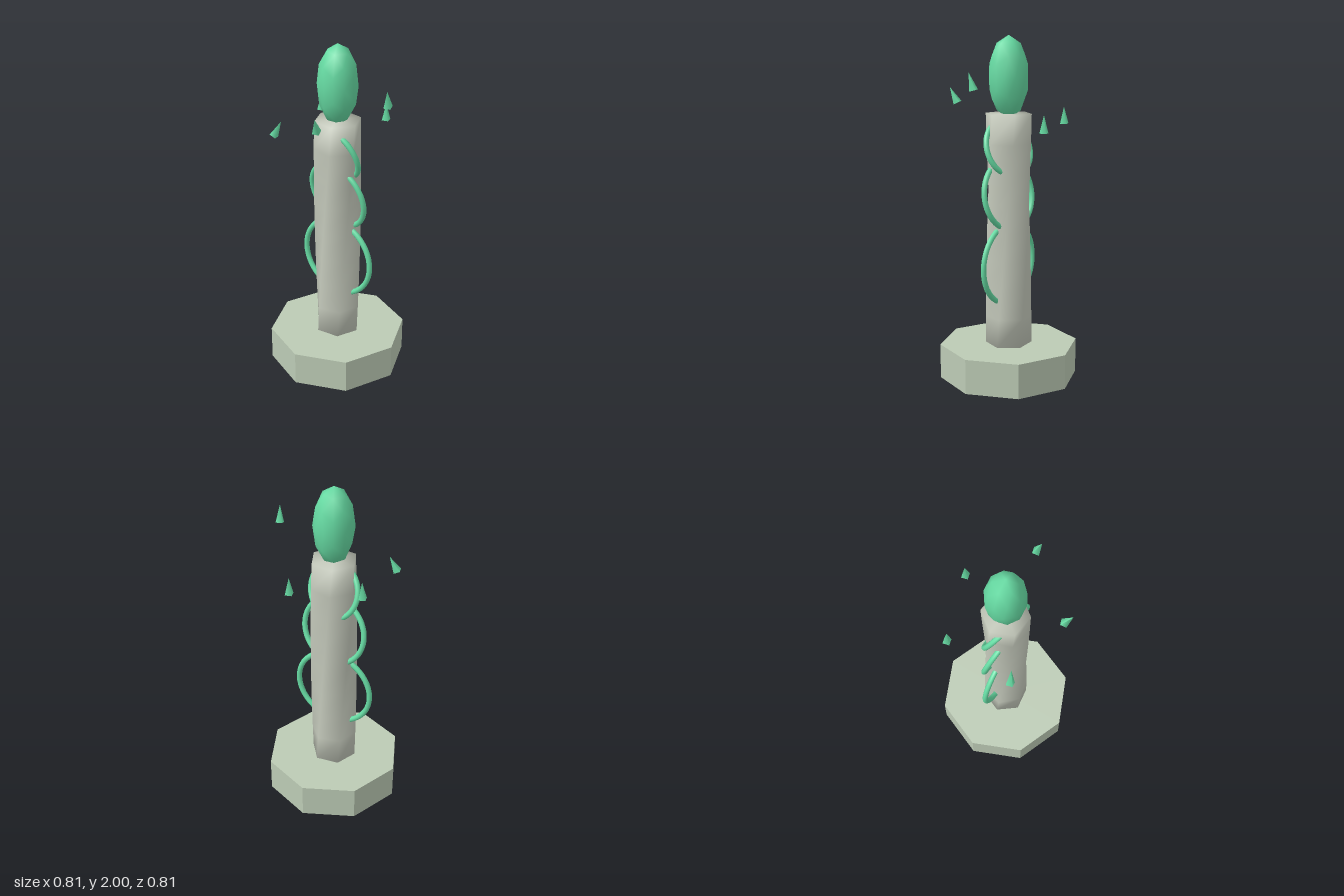
import * as THREE from 'three';
import { mergeVertices } from 'three/addons/utils/BufferGeometryUtils.js';

export function createModel() {
  const model = new THREE.Group();
  const baseStone = new THREE.MeshStandardMaterial({ color: 0xbccbb5, flatShading: true });
  const columnStone = new THREE.MeshStandardMaterial({ color: 0xc6cbbd });
  const crystal = new THREE.MeshStandardMaterial({ color: 0x66dba3 });

  function add(name, geometry, material, x, y, z) {
    const mesh = new THREE.Mesh(geometry, material);
    mesh.name = name;
    mesh.position.set(x, y, z);
    model.add(mesh);
    return mesh;
  }

  // Octagonal plinth
  add('plinth', new THREE.CylinderGeometry(0.405, 0.405, 0.203, 8), baseStone, 0, 0.1015, 0);

  // Six-sided column, twisted evenly along its height, with softened edges
  const height = 1.36, twist = 0.8;
  let column = new THREE.CylinderGeometry(0.135, 0.135, height, 6, 8);
  column.deleteAttribute('uv');
  column.deleteAttribute('normal');
  column = mergeVertices(column);
  const p = column.attributes.position;
  const v = new THREE.Vector3(), up = new THREE.Vector3(0, 1, 0);
  for (let i = 0; i < p.count; i++) {
    v.fromBufferAttribute(p, i).applyAxisAngle(up, twist * p.getY(i) / height);
    p.setXYZ(i, v.x, v.y, v.z);
  }
  column.computeVertexNormals();
  add('twistedColumn', column, columnStone, 0, 0.2 + height / 2, 0);

  // Tall faceted crystal on top
  const orb = add('topCrystal', new THREE.IcosahedronGeometry(0.117, 1), crystal, 0, 1.766, 0);
  orb.scale.y = 2;
  orb.rotation.y = 1;

  // Rings threaded through the column, smaller and more tilted going up
  [[0.235, 0.685], [0.2, 1.09], [0.162, 1.36]].forEach(([radius, y], i) => {
    const ring = add('ring' + (i + 1), new THREE.TorusGeometry(radius, 0.016, 10, 48), crystal, 0, y, 0);
    ring.rotation.set(0.18 * i, -0.09 * i, 0);
  });

  // Floating shards in a circle: height, tilt about x, tilt about z
  const shard = new THREE.ConeGeometry(0.027, 0.1, 4);
  shard.rotateY(Math.PI / 4 + 0.25);
  [
    [1.76, 0.25, -0.1],
    [1.655, 0.42, -0.2],
    [1.5, -0.2, -0.42],
    [1.54, 0, -0.05],
    [1.53, 0, 0],
  ].forEach(([y, tiltX, tiltZ], i) => {
    const a = i * Math.PI * 2 / 5;
    const mesh = add('shard' + (i + 1), shard, crystal, 0.335 * Math.cos(a), y, 0.335 * Math.sin(a));
    mesh.rotation.set(tiltX, 0, tiltZ);
  });

  return model;
}
